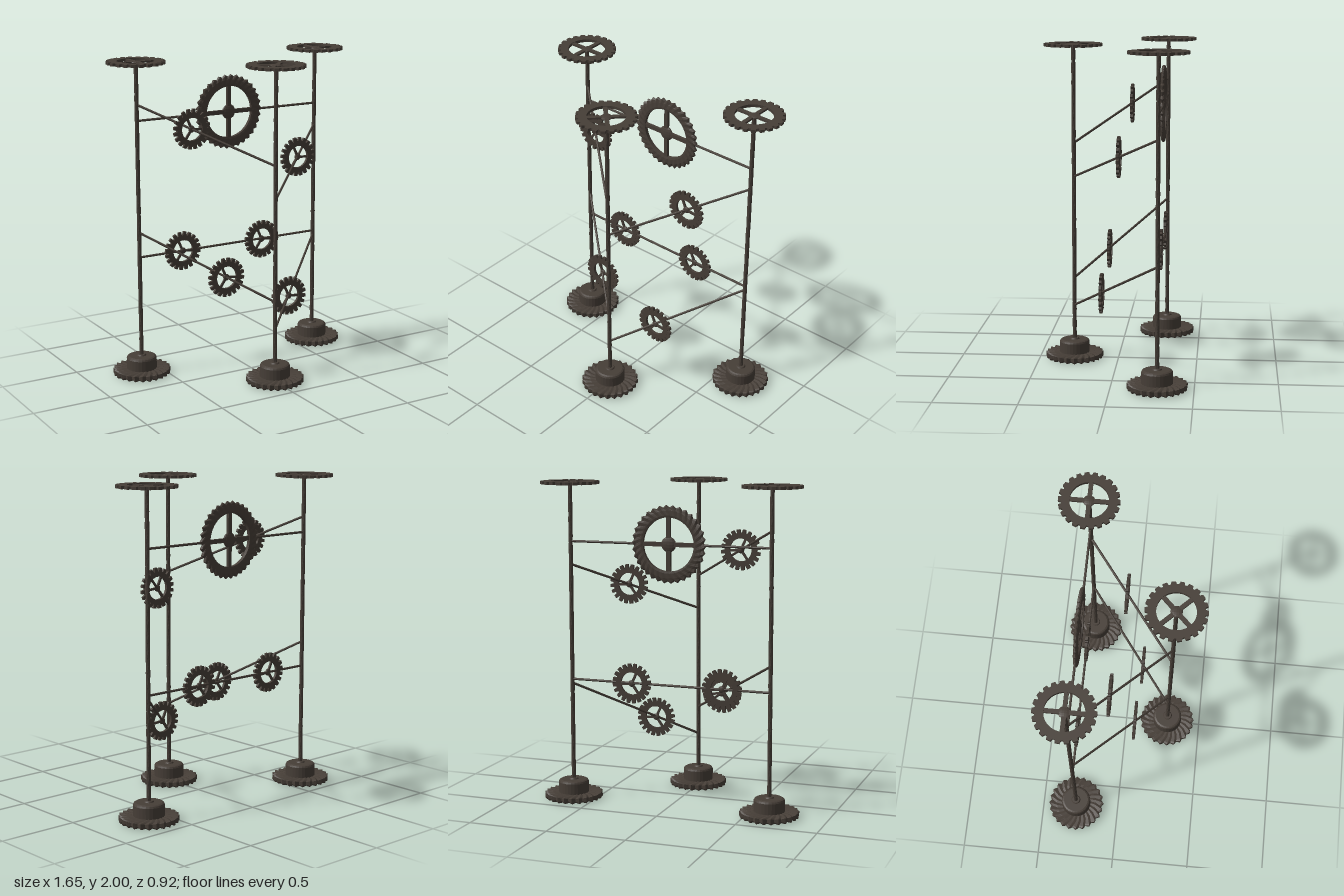
import * as THREE from 'three';

const iron = new THREE.MeshStandardMaterial({ color: 0x463e37, flatShading: true });
iron.name = 'dark iron';

const mesh = (name, geometry, parent) => {
  const m = new THREE.Mesh(geometry, iron);
  m.name = name;
  parent.add(m);
  return m;
};

// Flat toothed ring in the XY plane, centred on z = 0
function toothedRing(root, tip, inner, teeth, depth) {
  const shape = new THREE.Shape();
  const steps = [[0, root], [0.25, root], [0.36, tip], [0.86, tip]];
  for (let i = 0; i < teeth; i++) {
    steps.forEach(([f, r], k) => {
      const a = ((i + f) / teeth) * Math.PI * 2;
      shape[i + k ? 'lineTo' : 'moveTo'](r * Math.cos(a), r * Math.sin(a));
    });
  }
  shape.closePath();
  const hole = new THREE.Path();
  hole.absarc(0, 0, inner, 0, Math.PI * 2, true);
  shape.holes.push(hole);
  return new THREE.ExtrudeGeometry(shape, { depth, bevelEnabled: false, curveSegments: 20 })
    .translate(0, 0, -depth / 2);
}

// Turned profile whose outer part carries spiral teeth
function spiralGear(profile, teeth, start, end, bite, groove, twist) {
  const points = profile.map(([r, y]) => new THREE.Vector2(r, y));
  const geo = new THREE.LatheGeometry(points, teeth * 4);
  const p = geo.attributes.position;
  for (let i = 0; i < p.count; i++) {
    const x = p.getX(i), y = p.getY(i), z = p.getZ(i), r = Math.hypot(x, z);
    const t = THREE.MathUtils.clamp((r - start) / (end - start), 0, 1);
    const a = Math.atan2(z, x);
    const valley = 0.5 - 0.5 * Math.cos(a * teeth);
    const turned = a + twist * t;
    const radius = r - bite * valley * (r > end - 0.012 ? 1 : 0);
    p.setXYZ(i, radius * Math.cos(turned), y - Math.sign(y) * groove * valley * t, radius * Math.sin(turned));
  }
  geo.computeVertexNormals();
  return geo;
}

function addSpokes(parent, count, length, width, depth, phase) {
  for (let i = 0; i < count; i++) {
    const s = mesh('spoke', new THREE.BoxGeometry(length, width, depth).translate(length / 2, 0, 0), parent);
    s.rotation.z = phase + (i / count) * Math.PI * 2;
  }
}

function addHub(parent, radius, squash) {
  mesh('hub', new THREE.SphereGeometry(radius, 14, 8), parent).scale.z = squash;
}

// Six-sided bar with a gentle twist along its length
function twistedPost(height) {
  const geo = new THREE.CylinderGeometry(0.0135, 0.0135, height, 6, 44);
  const p = geo.attributes.position;
  for (let i = 0; i < p.count; i++) {
    const a = p.getY(i) * 11, x = p.getX(i), z = p.getZ(i);
    p.setX(i, x * Math.cos(a) - z * Math.sin(a));
    p.setZ(i, x * Math.sin(a) + z * Math.cos(a));
  }
  geo.computeVertexNormals();
  return geo.translate(0, height / 2, 0);
}

function addRod(parent, from, to) {
  const a = new THREE.Vector3(...from), b = new THREE.Vector3(...to);
  const rod = mesh('crossRod', new THREE.CylinderGeometry(0.0075, 0.0075, a.distanceTo(b), 8), parent);
  rod.position.copy(a).lerp(b, 0.5);
  rod.quaternion.setFromUnitVectors(new THREE.Vector3(0, 1, 0), b.sub(a).normalize());
}

export function createModel() {
  const model = new THREE.Group();
  model.name = 'gearStand';

  // Three posts, each with a spiral gear foot and a flat gear on top
  const footProfile = [[0, -0.014], [0.05, -0.016], [0.1, -0.019], [0.14, -0.021], [0.175, -0.021],
    [0.182, -0.012], [0.182, 0.018], [0.172, 0.021], [0.13, 0.021], [0.09, 0.019], [0, 0.019]];
  const footGear = spiralGear(footProfile, 24, 0.03, 0.182, 0.014, 0.007, 0.45);
  const hubProfile = [[0.095, 0.035], [0.095, 0.105], [0.09, 0.115], [0.08, 0.12], [0.03, 0.12], [0.025, 0.128], [0, 0.128]]
    .map(([r, y]) => new THREE.Vector2(r, y));
  const footHub = new THREE.LatheGeometry(hubProfile, 28);
  const postGeo = twistedPost(1.98);
  const topRing = toothedRing(0.164, 0.181, 0.115, 22, 0.018);
  const posts = [[-0.645, -0.28, 0], [0.645, -0.28, 0], [0.005, 0.28, Math.PI / 4]];
  for (const [x, z, turn] of posts) {
    const post = new THREE.Group();
    post.name = 'post';
    post.position.set(x, 0, z);
    mesh('footGear', footGear, post).position.y = 0.021;
    mesh('footHub', footHub, post);
    mesh('twistedBar', postGeo, post);
    const top = new THREE.Group();
    top.name = 'topGear';
    top.position.y = 1.99;
    top.rotation.x = -Math.PI / 2;
    mesh('ring', topRing, top);
    addSpokes(top, 4, 0.12, 0.026, 0.012, turn);
    addHub(top, 0.036, 0.27);
    post.add(top);
    model.add(post);
  }

  // Cross rods between the posts
  const rods = [
    [[-0.645, 1.63, -0.28], [0.645, 1.63, -0.28]],
    [[-0.645, 0.765, -0.28], [0.645, 0.765, -0.28]],
    [[-0.645, 1.73, -0.28], [0.005, 1.38, 0.28]],
    [[-0.645, 0.925, -0.28], [0.005, 0.52, 0.28]],
    [[0.645, 1.487, -0.28], [0.005, 1.168, 0.28]],
    [[0.645, 0.74, -0.28], [0.005, 0.342, 0.28]],
  ];
  rods.forEach(([a, b]) => addRod(model, a, b));

  // Small gears threaded on the rods
  const smallRing = toothedRing(0.102, 0.125, 0.07, 20, 0.017);
  const smallGears = [[-0.385, 1.59, -0.06], [0.36, 1.345, -0.03], [-0.225, 0.663, 0.075],
    [0.225, 0.475, 0.088], [0.245, 0.762, -0.28], [-0.34, 0.765, -0.28]];
  for (const at of smallGears) {
    const gear = new THREE.Group();
    gear.name = 'smallGear';
    gear.position.set(...at);
    mesh('ring', smallRing, gear);
    addSpokes(gear, 3, 0.075, 0.014, 0.011, 2);
    addHub(gear, 0.022, 0.5);
    model.add(gear);
  }

  // Large spiral gear on the upper back rod
  const big = new THREE.Group();
  big.name = 'largeGear';
  big.position.set(0, 1.63, -0.28);
  const rim = [[0.163, -0.011], [0.175, -0.014], [0.205, -0.014], [0.23, -0.011], [0.237, -0.005], [0.237, 0.005],
    [0.23, 0.011], [0.205, 0.014], [0.175, 0.014], [0.163, 0.011], [0.163, -0.011]];
  mesh('rim', spiralGear(rim, 34, 0.165, 0.237, 0.013, 0.006, 0.16), big).rotation.x = Math.PI / 2;
  addSpokes(big, 4, 0.17, 0.026, 0.018, 0);
  addHub(big, 0.048, 0.32);
  model.add(big);

  return model;
}
